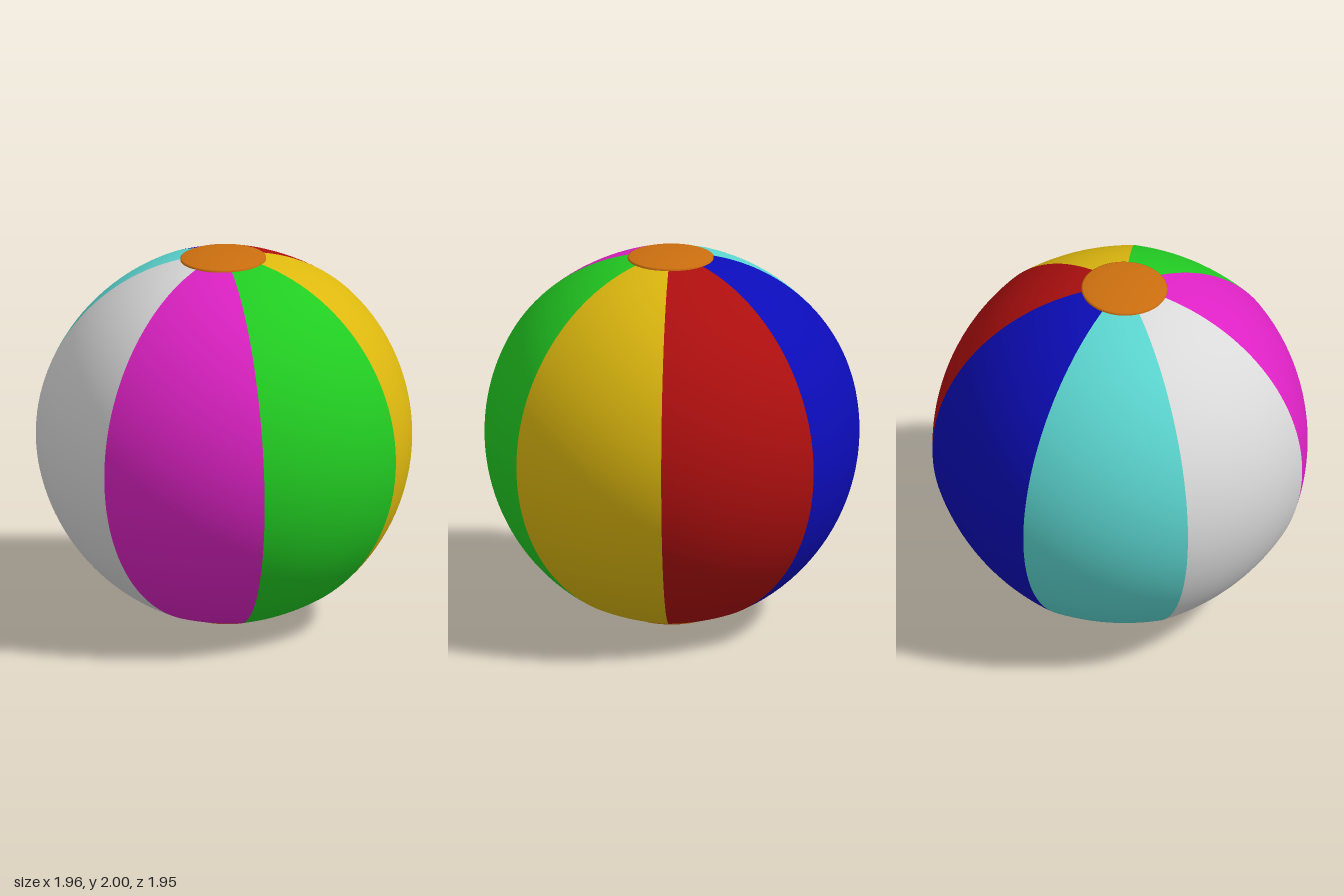
import * as THREE from 'three';

const PANELS = 7;
const STEP = (Math.PI * 2) / PANELS;
const POLAR = 0.99;

function mat(name, color) {
  const m = new THREE.MeshStandardMaterial({ color });
  m.name = name;
  return m;
}

// Horizontal radius of a panel: a flatter arc that peaks at the seams
function lobeRadius(u) {
  const d = 0.3, arc = 1.27;
  return -d * Math.cos(u) + Math.sqrt(arc * arc - (d * Math.sin(u)) ** 2);
}

// One gore of the ball, centred on the given angle around y (from +x to +z)
function panelGeometry(angle) {
  const g = new THREE.SphereGeometry(1, 20, 64, Math.PI - angle - STEP / 2, STEP, 0.1, Math.PI - 0.2);
  const p = g.attributes.position;
  for (let i = 0; i < p.count; i++) {
    const r = lobeRadius(Math.atan2(p.getZ(i), p.getX(i)) - angle);
    p.setXYZ(i, p.getX(i) * r, p.getY(i) * POLAR, p.getZ(i) * r);
  }
  g.computeVertexNormals();
  return g;
}

export function createModel() {
  const model = new THREE.Group();
  model.name = 'beachBall';
  const ball = new THREE.Group();
  ball.name = 'ball';
  ball.position.y = 1.008;
  ball.rotation.x = 0.02;
  model.add(ball);

  const add = (name, geometry, material, parent = ball) => {
    const mesh = new THREE.Mesh(geometry, material);
    mesh.name = name;
    parent.add(mesh);
    return mesh;
  };

  // Coloured panels, in order from +x towards +z
  const colours = [
    ['green', 0x22cc22], ['magenta', 0xdd22c4], ['white', 0xd9d9d9], ['cyan', 0x5cd6d0],
    ['blue', 0x0c0cb8], ['red', 0xae0f0f], ['yellow', 0xddb80f],
  ];
  const start = THREE.MathUtils.degToRad(1);
  colours.forEach(([name, hex], i) => {
    add(name + 'Panel', panelGeometry(start + i * STEP), mat(name, hex));
  });

  // Round end caps
  const orange = mat('orange', 0xcc6f0f);
  const profile = [[0.224, 0.952], [0.224, 0.97], [0.216, 0.974], [0.16, 0.983], [0.08, 0.99], [0, 0.992]]
    .map(([x, y]) => new THREE.Vector2(x, y));
  const capGeometry = new THREE.LatheGeometry(profile, 64);
  add('topCap', capGeometry, orange);
  add('bottomCap', capGeometry, orange).rotation.x = Math.PI;

  // Inflation valve with its plug on a short strap
  const grey = mat('valveGrey', 0xc4c4c4);
  const valve = new THREE.Group();
  valve.name = 'valve';
  valve.position.y = -0.993;
  ball.add(valve);
  add('valveFlange', new THREE.CylinderGeometry(0.036, 0.036, 0.012, 24), grey, valve);
  const rim = add('valveRim', new THREE.TorusGeometry(0.022, 0.006, 8, 24), grey, valve);
  rim.rotation.x = Math.PI / 2;
  rim.position.y = -0.008;
  add('valveStrap', new THREE.BoxGeometry(0.04, 0.007, 0.02), grey, valve).position.set(0.045, -0.004, 0);
  add('valvePlug', new THREE.CylinderGeometry(0.015, 0.015, 0.014, 16), grey, valve).position.set(0.062, -0.004, 0);

  return model;
}
